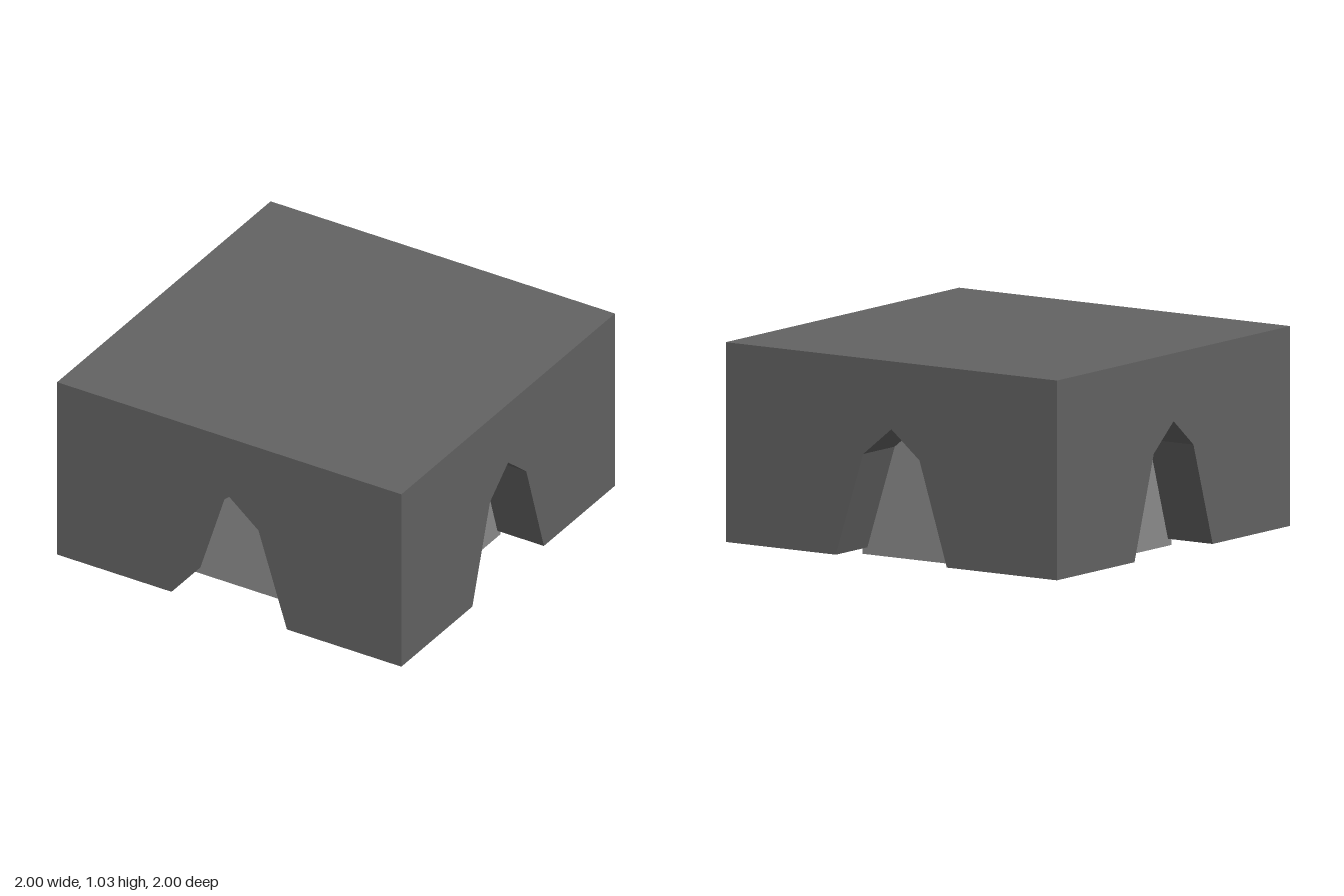
import * as THREE from 'three';

const BASE = 0.035, TOP = 1.035, SHOULDER = 0.555, PEAK = 0.695;
const FOOT = 0.335, NECK = 0.17, ROOM = 0.5;
const ARCH = [[-FOOT, BASE], [-NECK, SHOULDER], [0, PEAK], [NECK, SHOULDER], [FOOT, BASE]];

const charcoal = new THREE.MeshStandardMaterial({ color: 0x636363, flatShading: true, side: THREE.DoubleSide });
const midGrey = new THREE.MeshStandardMaterial({ color: 0x8c8c8c, flatShading: true });

function mesh(name, geometry, material = charcoal) {
  const m = new THREE.Mesh(geometry, material);
  m.name = name;
  return m;
}

// Flat convex polygons, each given as a list of [x, y, z] corners
function polygons(list) {
  const positions = [];
  for (const p of list)
    for (let i = 1; i < p.length - 1; i++) positions.push(...p[0], ...p[i], ...p[i + 1]);
  const g = new THREE.BufferGeometry();
  g.setAttribute('position', new THREE.Float32BufferAttribute(positions, 3));
  g.computeVertexNormals();
  return g;
}

const shapeOf = (points) => new THREE.Shape(points.map(([x, y]) => new THREE.Vector2(x, y)));

// Everything belonging to the +z side
function createSide() {
  const side = new THREE.Group();
  side.name = 'archedSide';

  // Outer wall with the pointed arch cut out of its lower edge
  const wall = new THREE.ShapeGeometry(shapeOf([[-1, BASE], ...ARCH, [1, BASE], [1, TOP], [-1, TOP]]));
  wall.translate(0, 0, 1);
  side.add(mesh('outerWall', wall));

  // Tunnel running from the arch to the central room
  const tunnel = [];
  for (let i = 0; i < ARCH.length - 1; i++) {
    const a = ARCH[i], b = ARCH[i + 1];
    tunnel.push([[...a, 1], [...a, ROOM], [...b, ROOM], [...b, 1]]);
  }
  side.add(mesh('tunnel', polygons(tunnel)));

  // Pointed roof continuing to the crossing in the middle
  side.add(mesh('crossingVault', polygons([
    [[-NECK, SHOULDER, ROOM], [-NECK, SHOULDER, NECK], [0, PEAK, 0], [0, PEAK, ROOM]],
    [[0, PEAK, ROOM], [0, PEAK, 0], [NECK, SHOULDER, NECK], [NECK, SHOULDER, ROOM]],
  ])));

  // Upright wall slivers beside the inner end of the tunnel
  side.add(mesh('roomSpandrels', polygons([
    [[FOOT, BASE, ROOM], [NECK, SHOULDER, ROOM], [FOOT, SHOULDER, ROOM]],
    [[-FOOT, BASE, ROOM], [-FOOT, SHOULDER, ROOM], [-NECK, SHOULDER, ROOM]],
  ])));

  // Chamfered room corner and the flat ceiling above it
  side.add(mesh('roomCorner', polygons([
    [[ROOM, BASE, FOOT], [FOOT, BASE, ROOM], [FOOT, SHOULDER, ROOM], [ROOM, SHOULDER, FOOT]],
  ])));
  side.add(mesh('roomCeiling', polygons([
    [[NECK, NECK], [ROOM, NECK], [ROOM, FOOT], [FOOT, ROOM], [NECK, ROOM]].map(([x, z]) => [x, SHOULDER, z]),
  ])));

  // Thick door slab with an upright foot, slightly larger than the tunnel it closes
  const door = new THREE.ExtrudeGeometry(
    shapeOf([[-0.365, 0], [0.365, 0], [0.365, BASE], [0.2, 0.57], [0, 0.73], [-0.2, 0.57], [-0.365, BASE]]),
    { depth: 0.13, bevelEnabled: false });
  door.translate(0, 0, 0.6);
  side.add(mesh('doorSlab', door, midGrey));
  return side;
}

export function createModel() {
  const model = new THREE.Group();
  model.name = 'archedBlock';

  // The same side four times around
  for (let i = 0; i < 4; i++) {
    const side = createSide();
    side.rotation.y = i * Math.PI / 2;
    model.add(side);
  }

  // Flat top; the corners stay hollow and open underneath
  const roof = new THREE.PlaneGeometry(2, 2);
  roof.rotateX(-Math.PI / 2);
  roof.translate(0, TOP, 0);
  model.add(mesh('roof', roof));
  return model;
}
